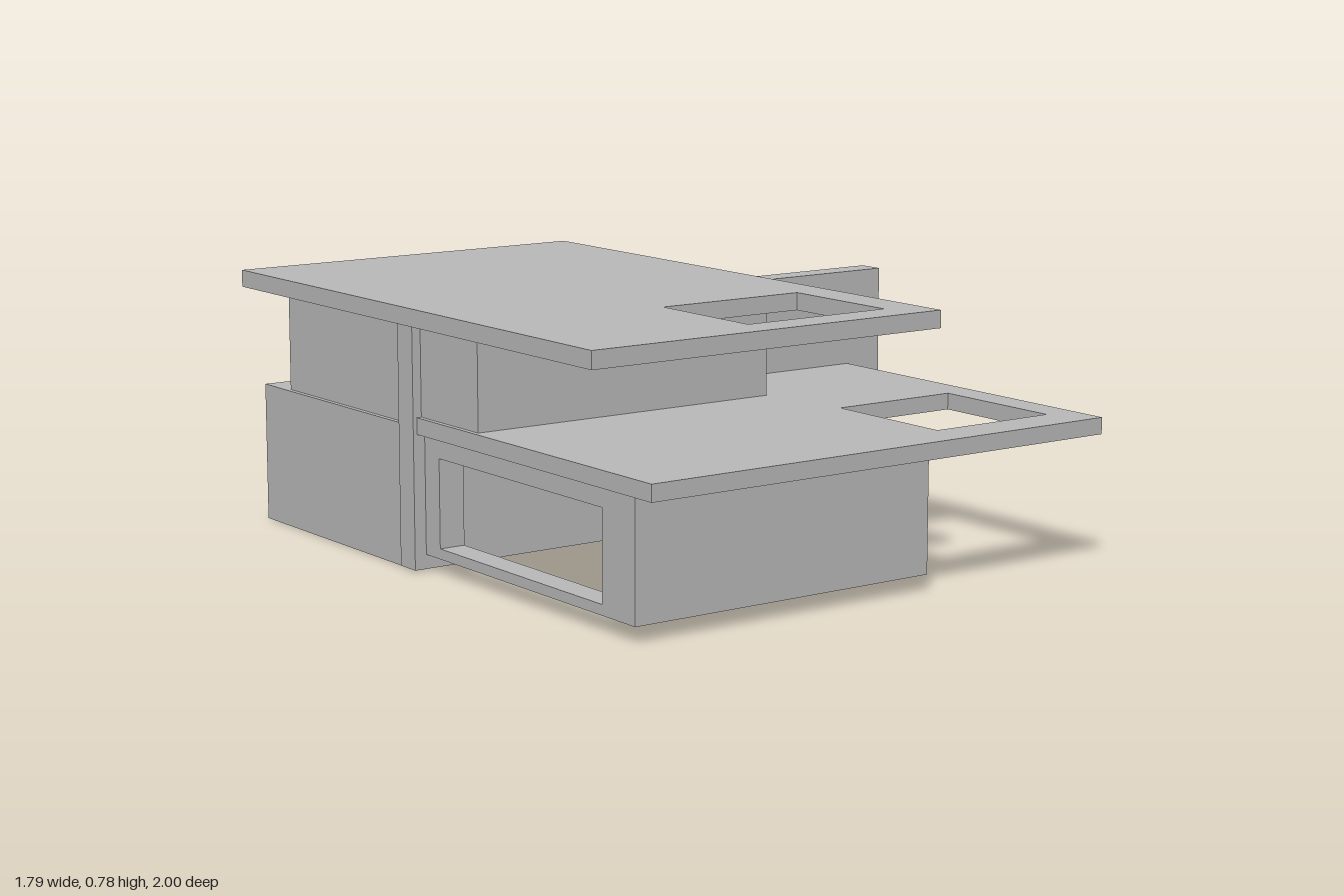
import * as THREE from 'three';

export function createModel() {
  const house = new THREE.Group();
  house.name = 'modernHouse';
  const grey = new THREE.MeshStandardMaterial({ color: 0xbbbbbb });
  grey.name = 'plainGrey';

  // Box given by its limits on each axis
  const box = (name, x0, x1, y0, y1, z0, z1) => {
    const mesh = new THREE.Mesh(new THREE.BoxGeometry(x1 - x0, y1 - y0, z1 - z0), grey);
    mesh.position.set((x0 + x1) / 2, (y0 + y1) / 2, (z0 + z1) / 2);
    mesh.name = name;
    house.add(mesh);
  };

  // Flat slab with one rectangular opening; rectangles are [x0, x1, z0, z1]
  const corners = ([x0, x1, z0, z1]) =>
    [[x0, -z0], [x0, -z1], [x1, -z1], [x1, -z0]].map(p => new THREE.Vector2(...p));
  const slab = (name, outer, hole, y0, y1) => {
    const shape = new THREE.Shape(corners(outer));
    shape.holes.push(new THREE.Path(corners(hole)));
    const geo = new THREE.ExtrudeGeometry(shape, { depth: y1 - y0, bevelEnabled: false });
    geo.rotateX(-Math.PI / 2);
    const mesh = new THREE.Mesh(geo, grey);
    mesh.position.y = y0;
    mesh.name = name;
    house.add(mesh);
  };

  // Roofs and the long wall that divides the house
  slab('upperRoof', [-0.895, 0.257, -0.925, 0.897], [-0.32, 0.145, 0.41, 0.79], 0.73, 0.78);
  slab('lowerRoof', [-0.785, 0.77, -0.125, 1], [0.27, 0.675, 0.455, 0.875], 0.395, 0.443);
  box('rearRoof', -0.785, 0.615, 0.325, 0.415, -1, -0.2);
  box('spineWall', -0.797, 0.893, 0.005, 0.73, -0.203, -0.125);

  // Rear garage with an open doorway
  box('garageFloor', -0.785, 0.615, 0, 0.005, -1, -0.175);
  box('garageBackWall', -0.785, 0.39, 0.005, 0.325, -1, -0.93);
  box('garageSideWall', -0.785, -0.705, 0.005, 0.325, -0.93, -0.203);
  box('garageFrontWall', 0.31, 0.39, 0.005, 0.325, -0.93, -0.715);
  box('garageJamb', 0.31, 0.39, 0.005, 0.325, -0.23, -0.203);

  // Front living room: solid front, wide opening on the -x side
  box('livingFrontWall', -0.76, 0.225, 0.047, 0.395, 0.79, 0.893);
  box('openingJamb', -0.76, -0.68, 0.047, 0.395, 0.745, 0.79);
  box('openingEndWall', -0.76, -0.68, 0.047, 0.395, -0.125, -0.05);
  box('openingSill', -0.76, -0.68, 0.047, 0.077, -0.05, 0.745);
  box('openingHead', -0.76, -0.68, 0.335, 0.395, -0.05, 0.745);

  // Living room glazing on the +x side
  const [wx0, wx1] = [0.2, 0.225];
  box('livingSill', wx0, wx1, 0.042, 0.075, -0.125, 0.79);
  box('livingHead', wx0, wx1, 0.385, 0.395, -0.125, 0.79);
  box('livingTransom', wx0, wx1, 0.313, 0.323, -0.125, 0.79);
  for (const [z0, z1] of [[0.586, 0.594], [0.371, 0.379], [0.13, 0.17], [-0.125, -0.113]])
    box('livingPost', wx0, wx1, 0.075, 0.385, z0, z1);
  box('livingDoor', wx0, wx1, 0.075, 0.315, -0.058, 0.07);

  // Upper storey walls
  box('upperFrontWall', -0.77, 0.225, 0.443, 0.73, 0.13, 0.17);
  box('upperSideWall', -0.77, -0.69, 0.443, 0.73, -0.125, 0.13);
  box('upperRearSideWall', -0.77, -0.69, 0.415, 0.73, -0.857, -0.203);
  box('upperBackWall', -0.77, 0.08, 0.415, 0.73, -0.87, -0.857);

  // Upper storey window frames, wrapping the rear corner
  for (const [name, y0, y1] of [['upperSill', 0.415, 0.422], ['upperHead', 0.724, 0.73]]) {
    box(name, wx0, wx1, y0, y1, -0.87, -0.203);
    box(name, 0.08, wx0, y0, y1, -0.87, -0.845);
  }
  box('upperFrontHead', wx0, wx1, 0.724, 0.73, -0.125, 0.13);
  for (const [z0, z1] of [[-0.414, -0.406], [-0.678, -0.648]])
    box('upperPost', wx0, wx1, 0.422, 0.724, z0, z1);

  return house;
}
